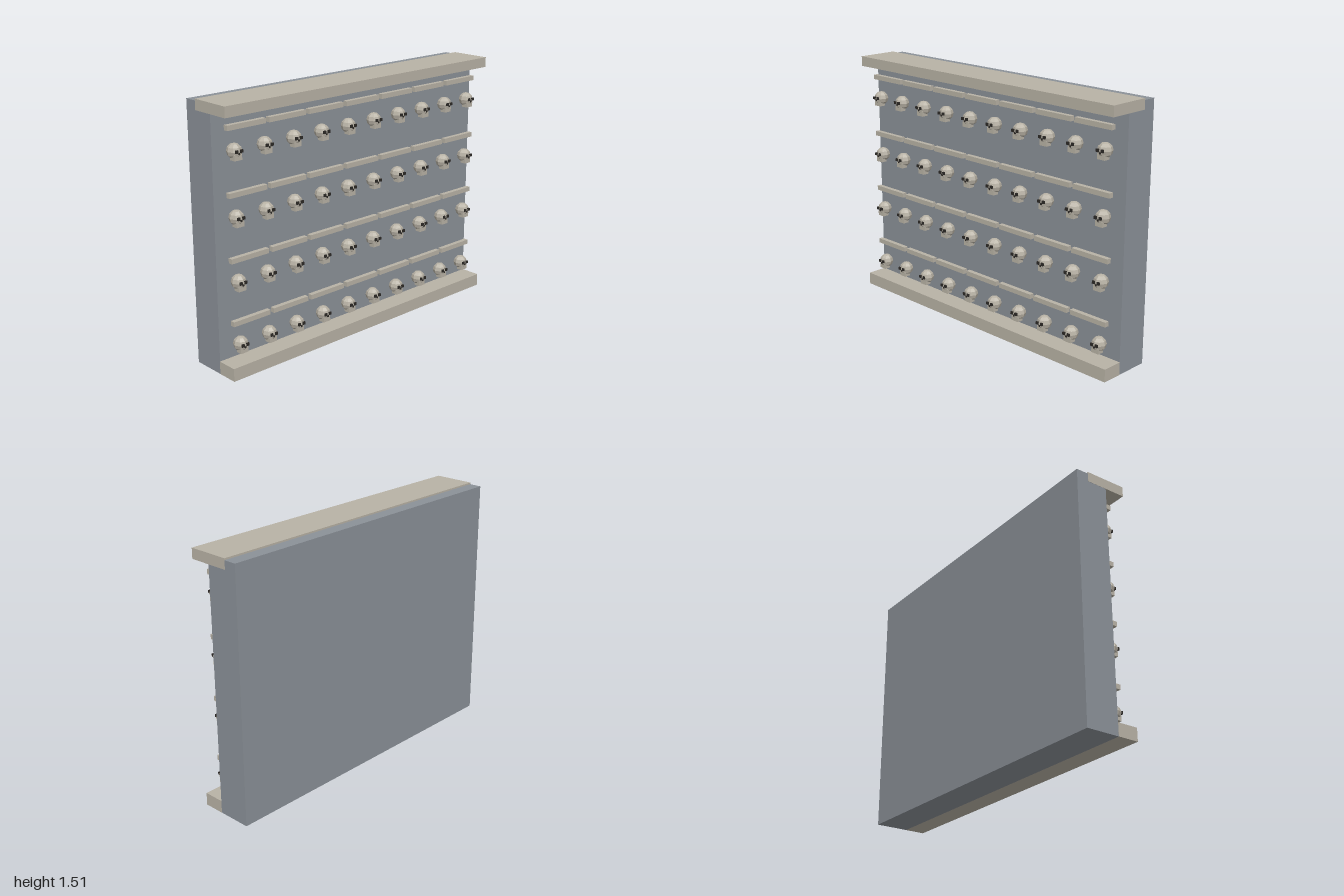
import * as THREE from 'three';

export function createModel() {
  const slate = new THREE.MeshStandardMaterial({ color: 0x8b9198 });
  slate.name = 'slate';
  const bone = new THREE.MeshStandardMaterial({ color: 0xb8b2a5 });
  bone.name = 'bone';
  const dark = new THREE.MeshStandardMaterial({ color: 0x2b2825 });
  dark.name = 'socketDark';

  const model = new THREE.Group();
  model.name = 'skullWall';

  function add(parent, name, geometry, material, x, y, z) {
    const mesh = new THREE.Mesh(geometry, material);
    mesh.name = name;
    mesh.position.set(x, y, z);
    parent.add(mesh);
    return mesh;
  }

  // Wall slab, a hair narrower than the ledges so their ends stay clean
  add(model, 'wall', new THREE.BoxGeometry(1.998, 1.5, 0.202), slate, 0, 0.75, -0.061);
  add(model, 'baseLedge', new THREE.BoxGeometry(2, 0.075, 0.125), bone, 0, 0.0375, 0.1025);
  add(model, 'topLedge', new THREE.BoxGeometry(2, 0.06, 0.25), bone, 0, 1.48, 0.04);

  // Shared pieces of the rows; the cranium is faceted
  const barGeo = new THREE.BoxGeometry(0.25, 0.028, 0.028);
  const craniumGeo = new THREE.SphereGeometry(0.043, 8, 6).toNonIndexed();
  craniumGeo.computeVertexNormals();
  const jawGeo = new THREE.BoxGeometry(0.05, 0.03, 0.038);
  const eyeGeo = new THREE.BoxGeometry(0.016, 0.016, 0.009);
  const noseGeo = new THREE.BoxGeometry(0.008, 0.01, 0.006);

  function makeSkull() {
    const skull = new THREE.Group();
    skull.name = 'skull';
    add(skull, 'cranium', craniumGeo, bone, 0, 0, 0);
    add(skull, 'jaw', jawGeo, bone, 0, -0.031, 0.014);
    for (const side of [-1, 1]) add(skull, 'eye', eyeGeo, dark, side * 0.016, 0.004, 0.042);
    add(skull, 'nose', noseGeo, dark, 0, -0.009, 0.041);
    return skull;
  }

  // Four rows: seven long bones above ten skulls
  for (let row = 0; row < 4; row++) {
    const y = 0.173 + row * 0.36;
    for (let i = 0; i < 7; i++) {
      add(model, 'longBone', barGeo, bone, (i - 3) * 0.275, y + 0.128, 0.1);
    }
    for (let i = 0; i < 10; i++) {
      const skull = makeSkull();
      skull.position.set((i - 4.5) * 0.2, y, 0.1);
      model.add(skull);
    }
  }
  return model;
}
